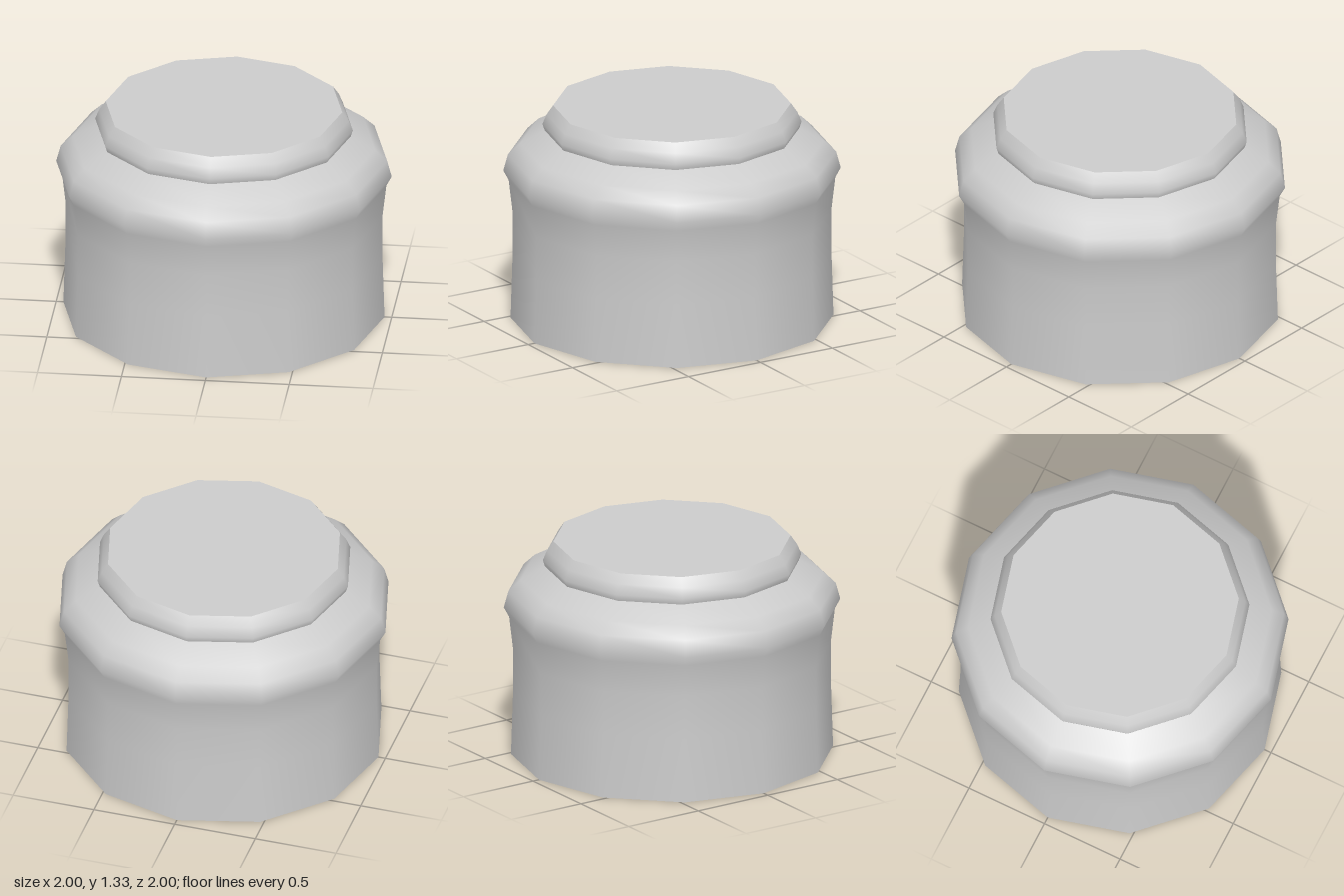
import * as THREE from 'three';

const SIDES = 12;

export function createModel() {
  const model = new THREE.Group();
  const material = new THREE.MeshStandardMaterial({ color: 0xcccccc });

  const add = (name, geometry, y = 0) => {
    const mesh = new THREE.Mesh(geometry, material);
    mesh.name = name;
    mesh.position.y = y;
    model.add(mesh);
  };
  const lathe = (profile) =>
    new THREE.LatheGeometry(profile.map(([r, y]) => new THREE.Vector2(r, y)), SIDES);

  // Slightly waisted body with a bulging shoulder
  add('body', lathe([
    [0.957, 0], [0.945, 0.39], [0.945, 0.66], [0.968, 0.86], [1, 0.92],
    [0.973, 1.02], [0.9, 1.09], [0.755, 1.17],
  ]));

  // Narrow collar rising from the shoulder
  add('collar', lathe([[0.755, 1.17], [0.768, 1.21], [0.743, 1.27], [0.705, 1.325]]));

  // Flat ends
  add('topCap', new THREE.CircleGeometry(0.705, SIDES).rotateX(-Math.PI / 2), 1.325);
  add('bottomCap', new THREE.CircleGeometry(0.957, SIDES).rotateX(Math.PI / 2), 0);

  return model;
}
